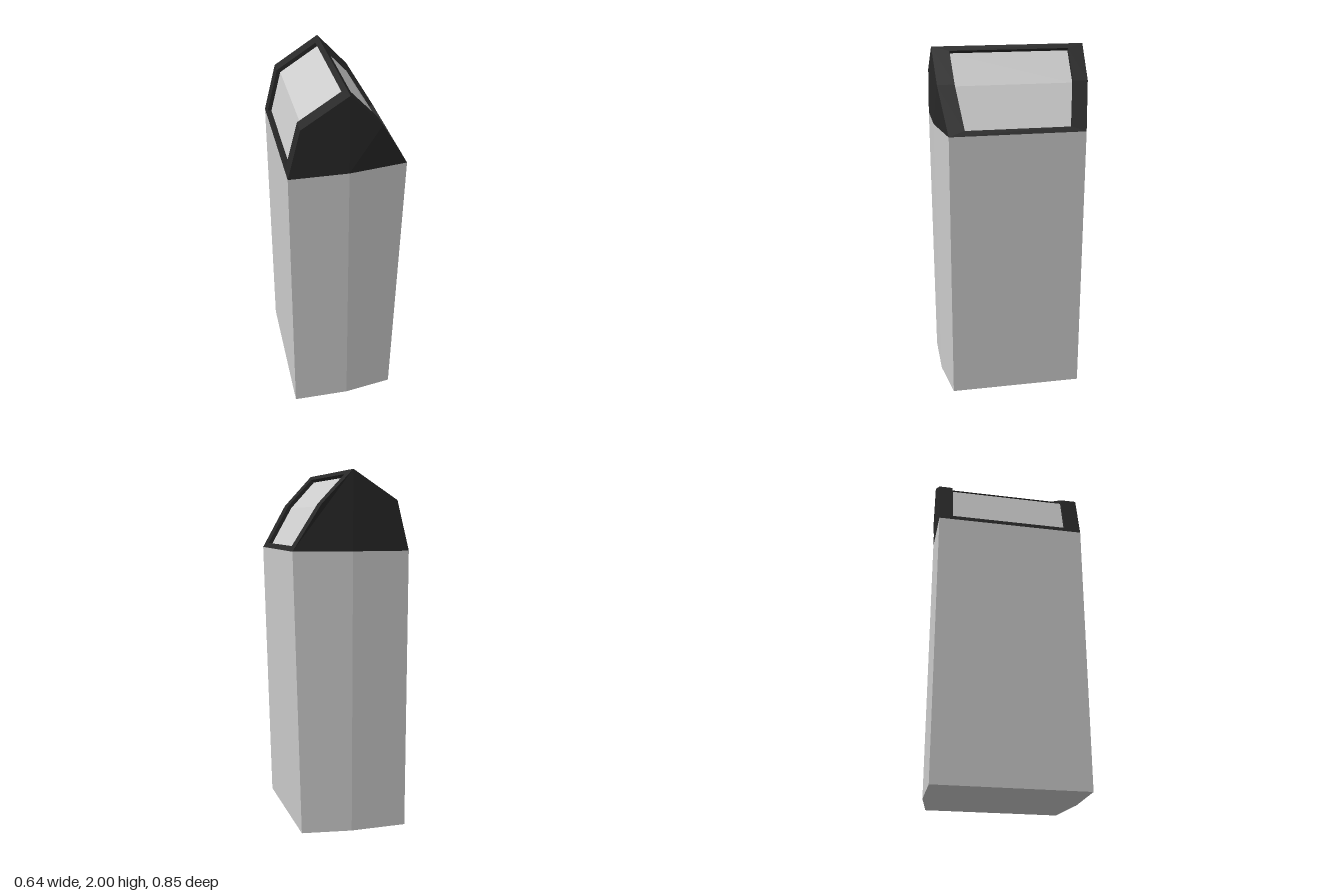
import * as THREE from 'three';

const V = (x, y, z) => new THREE.Vector3(x, y, z);

// Flat-shaded mesh from convex polygons with counter-clockwise corners
function polyMesh(name, polys, color) {
  const pts = [];
  for (const p of polys)
    for (let i = 1; i < p.length - 1; i++) pts.push(p[0], p[i], p[i + 1]);
  const geo = new THREE.BufferGeometry().setFromPoints(pts);
  geo.computeVertexNormals();
  const mesh = new THREE.Mesh(geo, new THREE.MeshStandardMaterial({ color, flatShading: true }));
  mesh.name = name;
  return mesh;
}

// Quads joining two closed rings of equal length
const band = (a, b) => a.map((p, i) => {
  const j = (i + 1) % a.length;
  return [p, a[j], b[j], b[i]];
});

const EAVE = 1.57, DEPTH = 0.425, RECESS = 0.022, DARK = 0x282828, GREY = 0xcccccc;

// Plan of the tower: square at -x, tapering ends towards +x
const plan = (y, x, z) => [
  V(-0.32, y, DEPTH), V(0, y, DEPTH), V(x, y, z),
  V(x, y, -z), V(0, y, -DEPTH), V(-0.32, y, -DEPTH),
];

// Roof slopes from ridge to eave [x, y, half depth] and their window openings [x, y, front z, back z]
const slopes = [
  {
    name: 'left',
    outer: [[0, 2, DEPTH], [0.17, 1.82, 0.415], [0.32, EAVE, 0.375]],
    open: [[0.022, 1.977, 0.328, -0.338], [0.17, 1.82, 0.32, -0.332], [0.304, 1.597, 0.287, -0.296]],
  },
  {
    name: 'right',
    outer: [[0, 2, DEPTH], [-0.25, 1.84, DEPTH], [-0.32, EAVE, DEPTH]],
    open: [[-0.025, 1.984, 0.332, -0.345], [-0.25, 1.84, 0.332, -0.345], [-0.313, 1.597, 0.332, -0.345]],
  },
];

// Closed ring down the front edge and back up the rear edge
const ring = (rows) => [
  ...rows.map(([x, y, f]) => V(x, y, f)),
  ...rows.map(([x, y, f, b = -f]) => V(x, y, b)).reverse(),
];

// Sink an opening profile below the roof surface, mitred at the bend
function sink(rows) {
  const s = Math.sign(rows[1][0]);
  const normal = (a, b) => new THREE.Vector2(a[1] - b[1], b[0] - a[0]).multiplyScalar(s).normalize();
  const n0 = normal(rows[0], rows[1]), n2 = normal(rows[1], rows[2]);
  const n1 = n0.clone().add(n2).normalize();
  n1.divideScalar(n1.dot(n0));
  return rows.map(([x, y, f, b], i) => {
    const n = [n0, n1, n2][i];
    return [x - n.x * RECESS, y - n.y * RECESS, f, b];
  });
}

export function createModel() {
  const model = new THREE.Group();
  model.name = 'tower';

  // Tower body, its +x wall leaning slightly outwards
  const low = plan(0, 0.28, 0.381), high = plan(EAVE, 0.32, 0.375);
  model.add(polyMesh('body', [...band(low, high), [...low].reverse(), high], GREY));

  // Gable ends, mirrored front to back
  const gables = [];
  for (const s of [1, -1]) {
    const faces = [
      [V(0, EAVE, DEPTH * s), V(0.32, EAVE, 0.375 * s), V(0.17, 1.82, 0.415 * s), V(0, 2, DEPTH * s)],
      [V(0, EAVE, DEPTH * s), V(0, 2, DEPTH * s), V(-0.25, 1.84, DEPTH * s), V(-0.32, EAVE, DEPTH * s)],
    ];
    gables.push(...faces.map((f) => (s > 0 ? f : f.reverse())));
  }
  model.add(polyMesh('roofGables', gables, DARK));

  // Sloping frames with recessed, bent window panes
  for (const { name, outer, open } of slopes) {
    const rings = [ring(outer), ring(open), ring(sink(open))];
    const [o, w, g] = rings;
    const frame = [...band(o, w), ...band(w, g)];
    const pane = [[g[0], g[1], g[4], g[5]], [g[1], g[2], g[3], g[4]]];
    if (name === 'right') [...frame, ...pane].forEach((p) => p.reverse());
    model.add(polyMesh(name + 'RoofFrame', frame, DARK), polyMesh(name + 'Window', pane, GREY));
  }
  return model;
}
